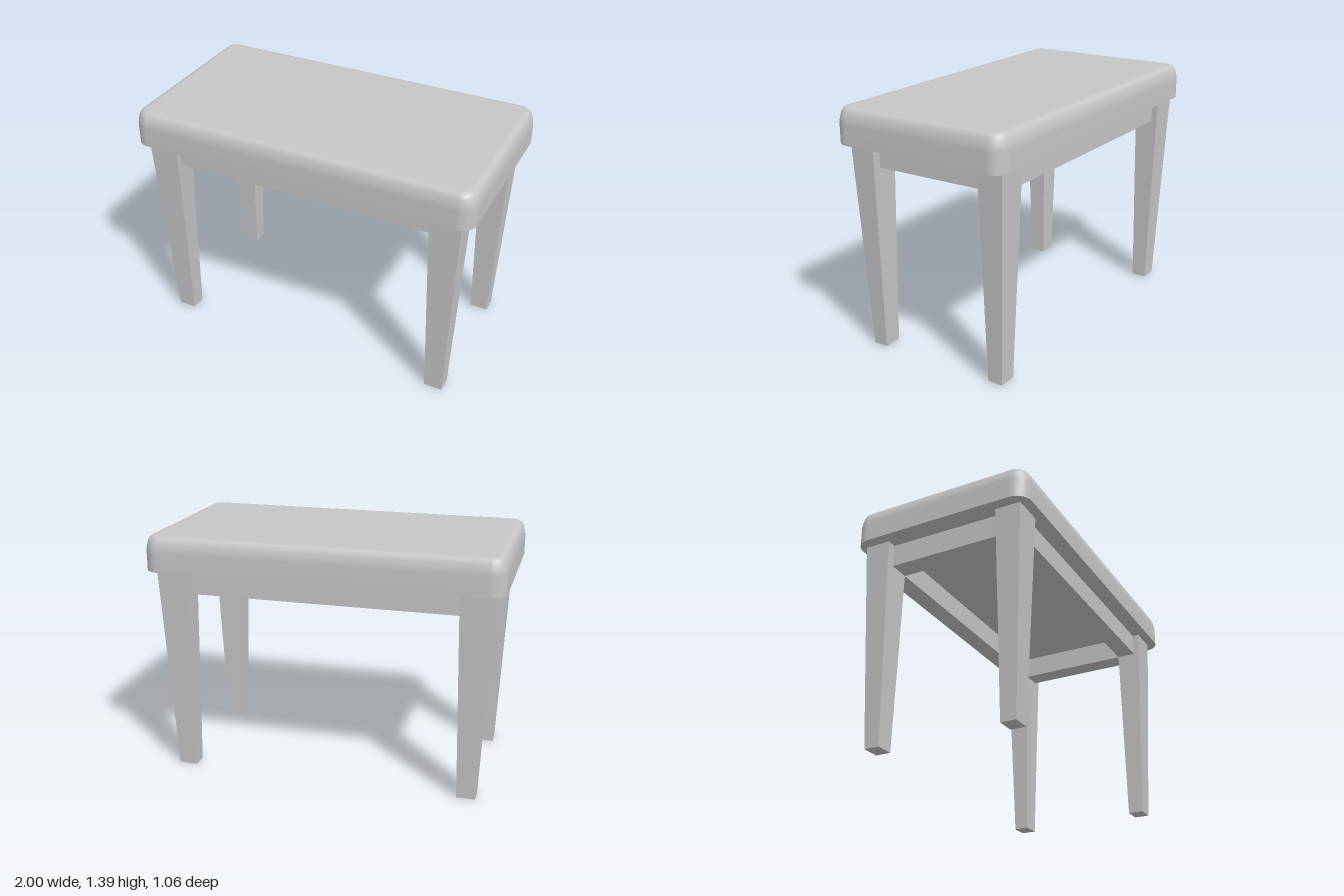
import * as THREE from 'three';

const grey = new THREE.MeshStandardMaterial({ color: 0xc6c6c6 });
grey.name = 'grey';

// Rounded rectangle, counter-clockwise seen from above
function ring(halfX, halfZ, radius, y, steps = 6) {
  const points = [];
  const corners = [[1, -1], [-1, -1], [-1, 1], [1, 1]];
  corners.forEach(([sx, sz], k) => {
    for (let i = 0; i <= steps; i++) {
      const a = (k + i / steps) * Math.PI / 2;
      points.push([
        sx * (halfX - radius) + radius * Math.cos(a), y,
        sz * (halfZ - radius) - radius * Math.sin(a),
      ]);
    }
  });
  return points;
}

// Padded seat: stacked rounded rectangles, smooth over the top, sharp underneath
function cushionGeometry() {
  const profile = [[0, 1.19], [0, 1.305], [0.004, 1.33], [0.012, 1.36], [0.023, 1.377], [0.037, 1.387], [0.057, 1.391]];
  const rings = profile.map(([inset, y]) => ring(1 - inset, 0.531 - inset, 0.088 - inset, y));
  const n = rings[0].length;
  const positions = rings.flat(2);
  const index = [];
  for (let r = 0; r < rings.length - 1; r++) {
    for (let j = 0; j < n; j++) {
      const a = r * n + j, b = r * n + (j + 1) % n;
      index.push(a, b, b + n, a, b + n, a + n);
    }
  }
  // Caps as fans; the underside has its own vertices
  const last = (rings.length - 1) * n;
  const top = positions.length / 3;
  positions.push(0, 1.391, 0, ...rings[0].flat(), 0, 1.19, 0);
  const under = top + 1, centre = under + n;
  for (let j = 0; j < n; j++) {
    const k = (j + 1) % n;
    index.push(last + j, last + k, top, under + k, under + j, centre);
  }
  const geometry = new THREE.BufferGeometry();
  geometry.setAttribute('position', new THREE.Float32BufferAttribute(positions, 3));
  geometry.setIndex(index);
  geometry.computeVertexNormals();
  return geometry;
}

// Tapered leg for the corner (sx, sz): distances of its inner and outer faces
function legGeometry(sx, sz) {
  const geometry = new THREE.BoxGeometry(1, 1, 1);
  const p = geometry.attributes.position;
  for (let i = 0; i < p.count; i++) {
    const high = p.getY(i) > 0;
    const outerX = p.getX(i) * sx > 0, outerZ = p.getZ(i) * sz > 0;
    const x = high ? (outerX ? 0.933 : 0.757) : (outerX ? 0.883 : 0.778);
    const z = high ? (outerZ ? 0.483 : 0.335) : (outerZ ? 0.437 : 0.35);
    p.setXYZ(i, sx * x - 0.003, high ? 1.19 : 0, sz * z - 0.008);
  }
  geometry.computeVertexNormals();
  return geometry;
}

export function createModel() {
  const group = new THREE.Group();
  group.name = 'bench';
  const add = (name, geometry, x = 0, y = 0, z = 0) => {
    const mesh = new THREE.Mesh(geometry, grey);
    mesh.name = name;
    mesh.position.set(x, y, z);
    group.add(mesh);
  };

  add('seatCushion', cushionGeometry());

  for (const sx of [-1, 1]) {
    for (const sz of [-1, 1]) {
      add((sz > 0 ? 'front' : 'back') + (sx > 0 ? 'Left' : 'Right') + 'Leg', legGeometry(sx, sz));
    }
  }

  // Rails between the legs, set back from the outer leg faces
  for (const s of [-1, 1]) {
    add(s > 0 ? 'frontRail' : 'backRail', new THREE.BoxGeometry(1.53, 0.13, 0.108), -0.003, 1.125, s * 0.391 - 0.008);
    add(s > 0 ? 'leftRail' : 'rightRail', new THREE.BoxGeometry(0.12, 0.13, 0.69), s * 0.819 - 0.003, 1.125, -0.008);
  }
  return group;
}
